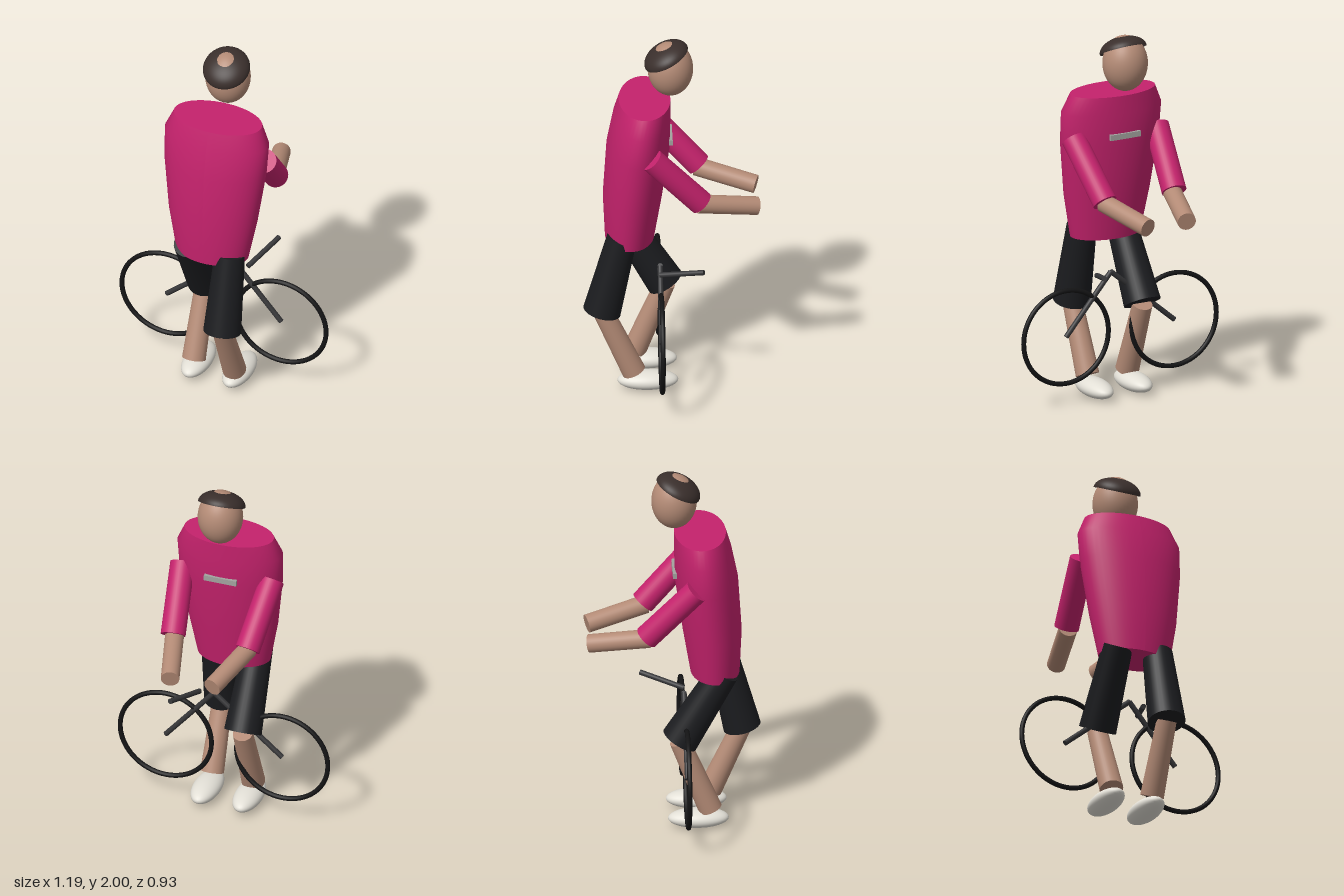
import * as THREE from 'three';

const mat = (color, side = THREE.FrontSide) => new THREE.MeshStandardMaterial({ color, side });
const V = (x, y, z) => new THREE.Vector3(x, y, z);

// Capped cylinder running from point a (radius ra) to point b (radius rb)
function limb(name, a, b, ra, rb, material) {
  const dir = b.clone().sub(a);
  const mesh = new THREE.Mesh(new THREE.CylinderGeometry(rb, ra, dir.length(), 32), material);
  mesh.position.copy(a).add(b).multiplyScalar(0.5);
  mesh.quaternion.setFromUnitVectors(V(0, 1, 0), dir.normalize());
  mesh.name = name;
  return mesh;
}

function ellipsoid(name, center, radii, material) {
  const mesh = new THREE.Mesh(new THREE.SphereGeometry(1, 40, 24), material);
  mesh.position.copy(center);
  mesh.scale.copy(radii);
  mesh.name = name;
  return mesh;
}

// Torso: a cylinder whose rings are reshaped into ellipses [y, half width, back z, chest z]
function torsoGeometry() {
  const rings = [
    [0.86, 0.2, 0.344, 0.085],
    [1.1, 0.245, 0.355, 0.045],
    [1.4, 0.283, 0.336, 0.003],
    [1.57, 0.29, 0.302, 0],
    [1.67, 0.245, 0.272, 0],
  ];
  const n = rings.length - 1;
  const geo = new THREE.CylinderGeometry(1, 1, 1, 48, n);
  const p = geo.attributes.position;
  for (let i = 0; i < p.count; i++) {
    const [y, rx, back, chest] = rings[Math.round((p.getY(i) + 0.5) * n)];
    p.setXYZ(i, p.getX(i) * rx, y, (back + chest) / 2 + p.getZ(i) * (back - chest) / 2);
  }
  geo.computeVertexNormals();
  return geo;
}

export function createModel() {
  const model = new THREE.Group();
  const skin = mat(0xb48b76);
  const shirt = mat(0xc4226c);
  const shorts = mat(0x1b1c1f);
  const hairMat = mat(0x3a2f2c, THREE.DoubleSide);
  const shoe = mat(0xe2dfd6);
  const tyre = mat(0x141415);
  const metal = mat(0x363638);

  // Head with a tilted half-dome of hair
  model.add(ellipsoid('head', V(0, 1.85, 0), V(0.12, 0.15, 0.12), skin));
  const hair = new THREE.Mesh(new THREE.SphereGeometry(1, 40, 16, 0, Math.PI * 2, 0, Math.PI / 2), hairMat);
  hair.scale.set(0.126, 0.072, 0.126);
  hair.position.set(0, 1.915, 0.02);
  hair.rotation.x = 0.47;
  hair.name = 'hair';
  model.add(hair);

  // Torso and chest strip
  const torso = new THREE.Mesh(torsoGeometry(), shirt);
  torso.name = 'torso';
  model.add(torso);
  const strip = new THREE.Mesh(new THREE.BoxGeometry(0.18, 0.03, 0.02), mat(0xa3a39f));
  strip.position.set(0, 1.45, 0);
  strip.name = 'chestStrip';
  model.add(strip);

  for (const s of [-1, 1]) {
    const side = s > 0 ? 'left' : 'right';

    // Arms
    model.add(limb(side + 'Sleeve', V(s * 0.25, 1.44, 0.107), V(s * 0.208, 1.155, -0.155), 0.065, 0.066, shirt));
    model.add(limb(side + 'Forearm', V(s * 0.205, 1.147, -0.14), V(s * 0.117, 1.082, -0.453), 0.05, 0.049, skin));

    // Legs: one knee swung back, the other forward
    const x = s * 0.117;
    const knee = s > 0 ? V(x, 0.465, 0.363) : V(x, 0.507, 0.024);
    const shinTop = s > 0 ? V(x, 0.47, 0.362) : V(x, 0.5, 0.022);
    const ankle = V(x, 0.1, s > 0 ? 0.195 : 0.185);
    model.add(limb(side + 'ShortsLeg', V(x, 0.9, 0.258), knee, 0.08, 0.1, shorts));
    model.add(limb(side + 'Shin', shinTop, ankle, 0.053, 0.063, skin));
    model.add(ellipsoid(side + 'Shoe', V(x, 0.05, 0.122), V(0.075, 0.05, 0.16), shoe));

    // Wheel and the frame tube rising from its hub
    const wheel = new THREE.Mesh(new THREE.TorusGeometry(0.255, 0.013, 12, 64), tyre);
    wheel.position.set(s * 0.325, 0.375, 0.055);
    wheel.name = side + 'Wheel';
    model.add(wheel);
    model.add(limb(side + 'FrameTube', wheel.position, V(0.055, 0.695, 0.055), 0.014, 0.014, metal));
  }

  // Handlebar
  model.add(limb('handlebar', V(0.137, 0.685, 0.058), V(0.22, 0.742, -0.17), 0.014, 0.014, metal));

  return model;
}
